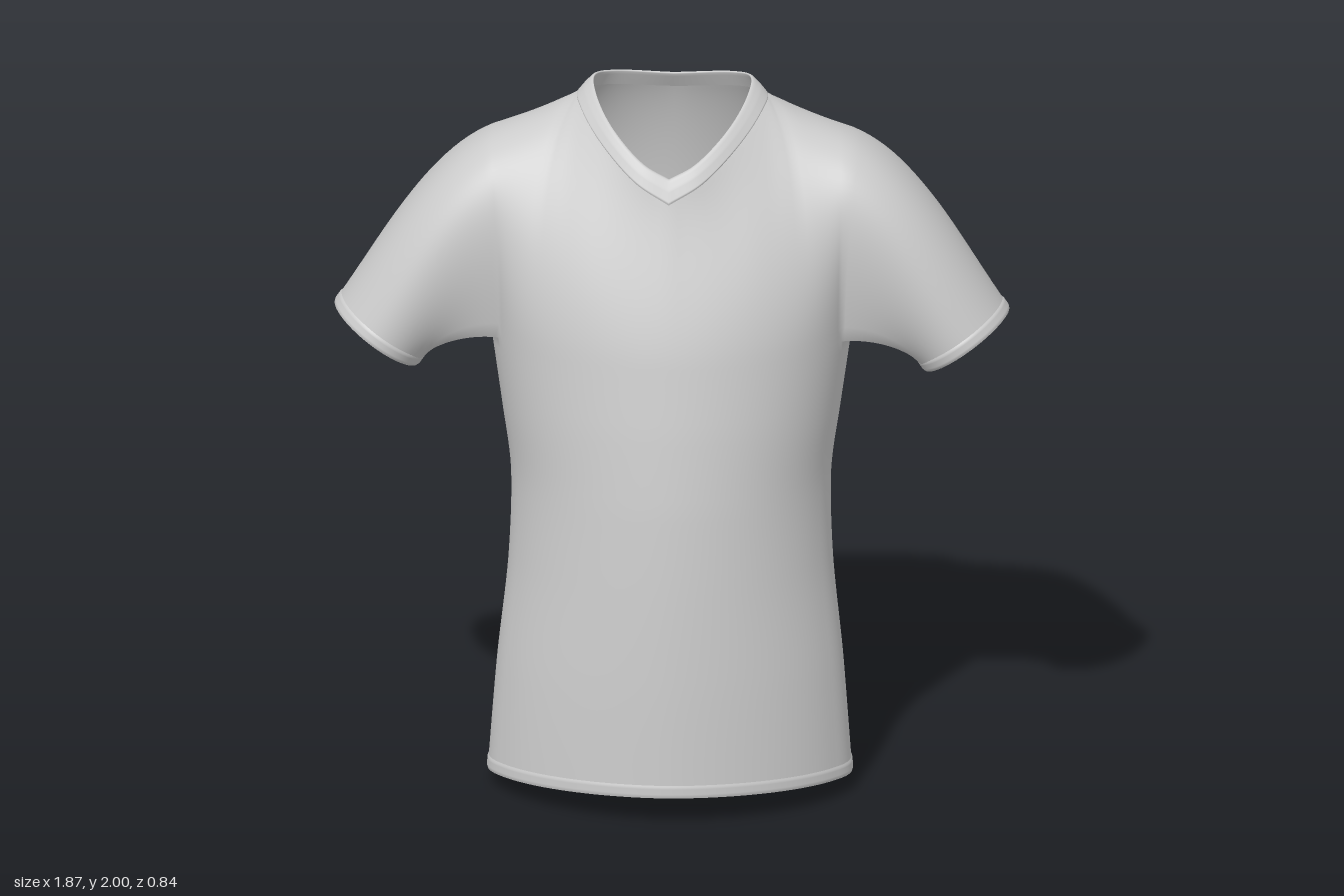
import * as THREE from 'three';
import { mergeGeometries, mergeVertices } from 'three/addons/utils/BufferGeometryUtils.js';
import { ParametricGeometry } from 'three/addons/geometries/ParametricGeometry.js';

const N = 24;               // samples along every patch edge
const ARMPIT = 1.3;         // height where the sleeves branch off
const A_FRONT = 1.25;       // ring angles that bound the underarm
const A_BACK = 2.1;
const UNDER = 0.5;          // half angle of the underarm on the cuff
const NECK = 2 / 3;         // share of each panel top that borders the collar
const V = (x, y, z) => new THREE.Vector3(x, y, z);
const lerp = THREE.MathUtils.lerp;
const spline = pts => new THREE.CatmullRomCurve3(pts.map(p => V(...p)));

// Piecewise linear lookup in rows of [key, value, value...]
function lookup(rows, k) {
  let i = 0;
  while (i < rows.length - 2 && k > rows[i + 1][0]) i++;
  const t = (k - rows[i][0]) / (rows[i + 1][0] - rows[i][0]);
  return rows[i].slice(1).map((a, j) => lerp(a, rows[i + 1][j + 1], t));
}

// Torso sections: height -> half width, front z, back z
const sections = [[0, 0.505, 0.42, -0.352], [0.33, 0.48, 0.41, -0.385], [0.65, 0.448, 0.392, -0.412],
  [0.87, 0.443, 0.374, -0.425], [1.1, 0.472, 0.344, -0.437], [1.3, 0.5, 0.31, -0.445]];
const torsoSpline = spline(sections.map(s => s.slice(1)));
const sectionIndex = sections.map((s, i) => [s[0], i / (sections.length - 1)]);

// Point on the torso, a = 0 at the front centre to PI at the back centre
function torso(a, v, grow = 1) {
  const { x: w, y: zf, z: zb } = torsoSpline.getPoint(lookup(sectionIndex, v * ARMPIT)[0]);
  const zc = lerp(0.06, -0.06, THREE.MathUtils.smoothstep(v, 0, 1));
  const s = Math.abs(Math.sin(a)), c = Math.cos(a), blend = Math.min(1, Math.abs(c) * 3);
  const n = 2 + blend * (c > 0 ? -0.2 * (1 - v) : 0.3 + 1.1 * v);   // pointed front, square back
  const r = grow / Math.pow(Math.pow(s, n) + Math.pow(Math.abs(c), n), 1 / n);
  const x = s < 1e-6 ? 0 : w * s * r;
  let z = zc + (c > 0 ? zf - zc : zc - zb) * c * r;
  if (c < 0) z += 0.08 * v * Math.exp(-((x / 0.2) ** 2));   // hollow along the spine
  return V(x, lerp(0.036 + 0.104 * z, ARMPIT, v), z);
}

// Neck outlines from the front point over the shoulder (u = 2/3) to the back
const neckSeam = spline([[0, 1.735, 0.17], [0.09, 1.785, 0.14], [0.19, 1.868, 0.045], [0.25, 1.93, -0.07],
  [0.262, 1.95, -0.16], [0.2, 1.945, -0.235], [0, 1.935, -0.262]]);
const neckEdge = spline([[0, 1.8, 0.135], [0.07, 1.835, 0.115], [0.16, 1.91, 0.03], [0.212, 1.975, -0.09],
  [0.215, 2.0, -0.17], [0.17, 1.995, -0.215], [0, 1.985, -0.23]]);
const shoulder = spline([[0.262, 1.95, -0.16], [0.36, 1.898, -0.15], [0.5, 1.845, -0.13]]);

// Panel shaping from the centre to the armhole: [rise, bulge] at the bottom, guide curve below the top
const panels = {
  front: { low: [[0, 0.15, 0], [1, 0.35, 0.09]],
    guide: spline([[0, 1.605, 0.21], [0.23, 1.735, 0.125], [0.365, 1.872, 0.04], [0.5, 1.845, 0.08]]) },
  back: { low: [[0, 0.28, 0], [1, 0.35, -0.1]],
    guide: spline([[0, 1.815, -0.312], [0.2, 1.84, -0.318], [0.35, 1.885, -0.3], [0.5, 1.845, -0.37]]) },
};

// Chest and upper back: s = 0 at the centre, 1 at the armhole
function panel(side, s, v) {
  const front = side === 'front', { low, guide } = panels[side];
  const a = front ? s * A_FRONT : lerp(Math.PI, A_BACK, s);
  const p0 = torso(a, 1);
  const p1 = s <= NECK
    ? neckSeam.getPoint(front ? s : 1 - s / 2)
    : shoulder.getPoint((s - NECK) / (1 - NECK));
  const [rise, bulge] = lookup(low, s);
  const slope = p0.clone().sub(torso(a, 0.98));              // carries on the line of the torso
  const c0 = p0.clone().addScaledVector(slope, rise / slope.y);
  c0.x = lerp(c0.x, p0.x, s);
  c0.z += bulge * s * s;
  return new THREE.CubicBezierCurve3(p0, c0, guide.getPoint(s), p1).getPoint(v);
}

// Cuff ellipse: b = 0 underneath, PI on top
const cuffAxis = V(0.563, -0.827, 0);
function cuff(b, grow = 1) {
  const c = Math.cos(b) * grow, s = Math.sin(b) * grow;
  return V(0.818 - 0.117 * c, 1.265 - 0.08 * c + 0.015 * s, -0.082 + 0.18 * s + 0.02 * c);
}

// Sleeve strand from an armhole point to the cuff
function sleeve(p0, b, t) {
  const p1 = cuff(b), len = p0.distanceTo(p1) / 3, top = (1 - Math.cos(b)) / 2;
  const c0 = p0.clone().addScaledVector(V(0.87, lerp(0.15, -0.4, top), 0), len);
  const c1 = p1.clone().addScaledVector(cuffAxis, -len);
  const p = new THREE.CubicBezierCurve3(p0, c0, c1, p1).getPoint(t);
  const behind = Math.max(0, -Math.sin(b)) ** 2;              // soft folds at the back
  p.z += 0.008 * behind * Math.sin(t * Math.PI) * Math.sin(t * 16 + p.y * 5);
  return p;
}

// A patch for the left side and its mirror image
function mirrored(fn, nu, nv) {
  return [1, -1].map(side => new ParametricGeometry((u, v, target) => {
    target.copy(fn(side > 0 ? u : 1 - u, v));
    target.x *= side;
  }, nu, nv));
}

// Weld patches so that shading runs smoothly over their borders
function weld(patches) {
  for (const g of patches) {
    g.deleteAttribute('uv');
    g.deleteAttribute('normal');
  }
  const g = mergeVertices(mergeGeometries(patches), 1e-4);
  g.computeVertexNormals();
  return g;
}

export function createModel() {
  const group = new THREE.Group();
  const material = new THREE.MeshStandardMaterial({ color: 0xcccccc, side: THREE.DoubleSide });
  const add = (name, patches) => {
    const mesh = new THREE.Mesh(weld(patches), material);
    mesh.name = name;
    group.add(mesh);
  };

  // Torso, shoulders and sleeves in one continuous cloth
  const cloth = [];
  for (const [a0, a1] of [[0, A_FRONT], [A_FRONT, A_BACK], [A_BACK, Math.PI]])
    cloth.push(...mirrored((u, v) => torso(lerp(a0, a1, u), v), N, 40));
  cloth.push(...mirrored((u, v) => panel('front', u, v), N, N));
  cloth.push(...mirrored((u, v) => panel('back', 1 - u, v), N, N));
  cloth.push(...mirrored((u, t) => sleeve(panel('front', 1, 1 - u), lerp(Math.PI, UNDER, u), t), N, N));
  cloth.push(...mirrored((u, t) => sleeve(torso(lerp(A_FRONT, A_BACK, u), 1), lerp(UNDER, -UNDER, u), t), N, N));
  cloth.push(...mirrored((u, t) => sleeve(panel('back', 1, u), lerp(-UNDER, -Math.PI, u), t), N, N));
  add('shirtBody', cloth);

  // Stitched hem around the bottom
  const hemGrow = [[0, 1], [0.2, 1.006], [0.8, 1.006], [1, 1]];
  add('hemBand', mirrored((u, v) => torso(u * Math.PI, v * 0.03, lookup(hemGrow, v)[0]), 72, 10));

  // Stitched bands at the sleeve ends
  const cuffGrow = [[0, 1], [0.2, 1.02], [0.8, 1.02], [1, 1]];
  add('sleeveBands', mirrored((u, v) =>
    cuff(Math.PI * (1 - 2 * u), lookup(cuffGrow, v)[0]).addScaledVector(cuffAxis, (v - 1) * 0.035), 56, 10));

  // V-shaped collar: up the outside, over the edge, down the inside
  const collar = [[0, 0, 0], [0.12, 0.08, 0.004], [0.5, 0.55, 0.006], [0.65, 0.93, 0.004],
    [0.72, 1, 0], [0.8, 0.93, -0.005], [1, 0.05, -0.007]];
  add('collar', mirrored((u, v) => {
    const [w, off] = lookup(collar, v);
    const p = neckSeam.getPoint(u).lerp(neckEdge.getPoint(u), w);
    p.addScaledVector(V(p.x, 0.06, p.z + 0.06).normalize(), off);
    if (u < 1e-6 || u > 1 - 1e-6) p.x = 0;
    return p;
  }, 60, 25));

  return group;
}
